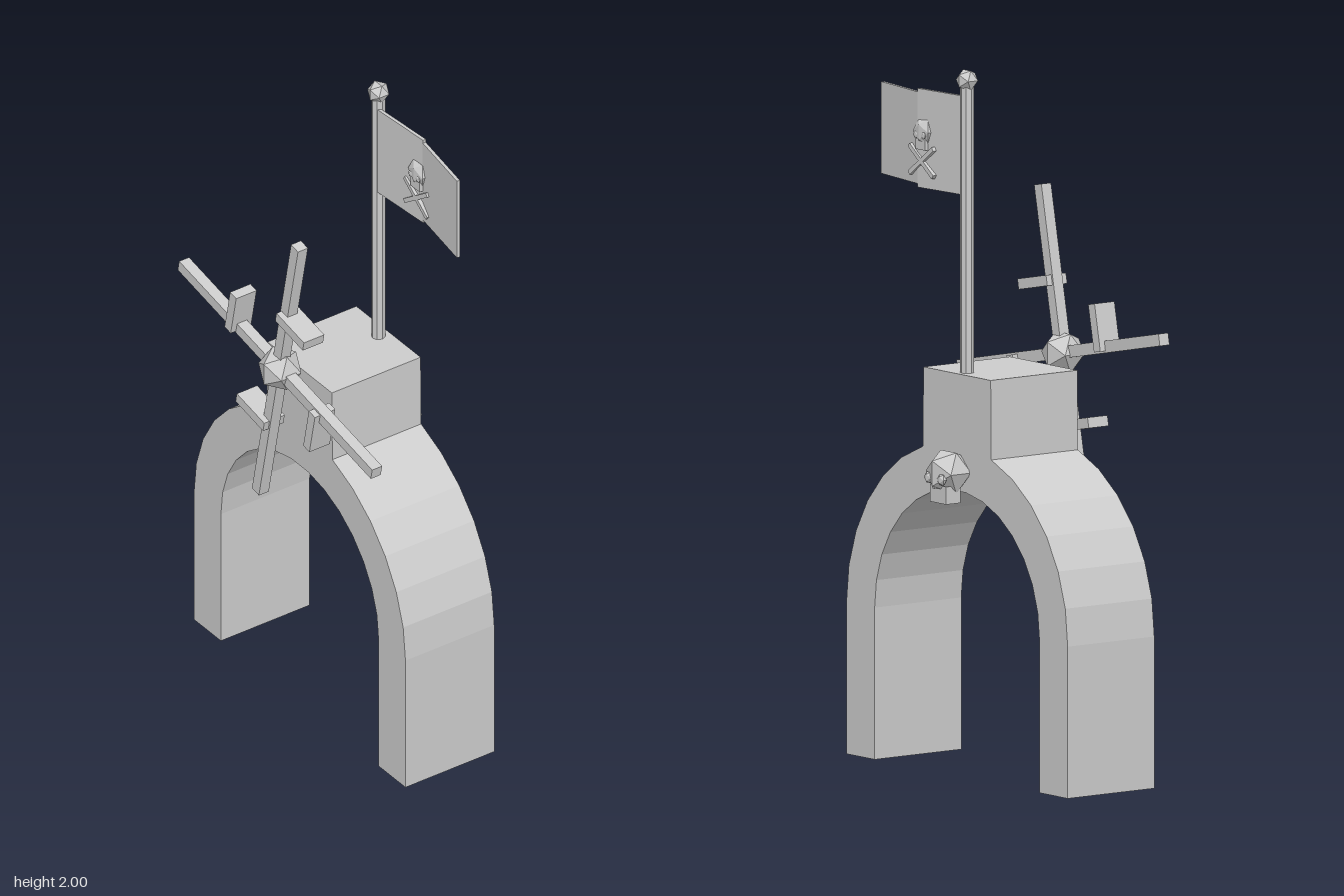
import * as THREE from 'three';

export function createModel() {
  const model = new THREE.Group();
  const stone = new THREE.MeshStandardMaterial({ color: 0xcccccc, flatShading: true });
  stone.name = 'plain grey';

  function add(parent, name, geometry, x = 0, y = 0, z = 0) {
    const mesh = new THREE.Mesh(geometry, stone);
    mesh.name = name;
    mesh.position.set(x, y, z);
    parent.add(mesh);
    return mesh;
  }
  function group(parent, name, x, y, z) {
    const g = new THREE.Group();
    g.name = name;
    g.position.set(x, y, z);
    parent.add(g);
    return g;
  }

  // Arch with the square block on its crown, as one extruded outline
  const springY = 0.43, outer = 0.51, inner = 0.38, step = Math.PI / 15;
  const at = (r, i) => new THREE.Vector2(r * Math.cos(i * step), springY + r * Math.sin(i * step));
  const outline = [new THREE.Vector2(inner, 0), new THREE.Vector2(outer, 0)];
  for (let i = 0; i <= 6; i++) outline.push(at(outer, i));
  outline.push(new THREE.Vector2(0.155, 1.14), new THREE.Vector2(-0.155, 1.14));
  for (let i = 9; i <= 15; i++) outline.push(at(outer, i));
  outline.push(new THREE.Vector2(-outer, 0), new THREE.Vector2(-inner, 0));
  for (let i = 15; i >= 0; i--) outline.push(at(inner, i));
  const archGeometry = new THREE.ExtrudeGeometry(new THREE.Shape(outline), { depth: 0.305, bevelEnabled: false });
  add(model, 'arch', archGeometry, 0, 0, -0.17);

  // Four-armed wheel in front, each arm with a paddle across it
  const wheel = group(model, 'wheel', 0, 1.165, 0.203);
  add(wheel, 'hub', new THREE.IcosahedronGeometry(0.065, 0));
  for (let i = 0; i < 4; i++) {
    const arm = group(wheel, 'arm', 0, 0, 0);
    arm.rotation.z = -0.2 - i * Math.PI / 2;
    add(arm, 'spar', new THREE.BoxGeometry(0.034, 0.47, 0.034), 0, 0.24, 0);
    add(arm, 'paddle', new THREE.BoxGeometry(0.135, 0.03, 0.07), 0.056, 0.205, 0);
  }

  // Flagpole and finial
  add(model, 'flagpole', new THREE.CylinderGeometry(0.02, 0.02, 0.82, 8), 0, 1.54, -0.135);
  add(model, 'finial', new THREE.IcosahedronGeometry(0.033, 0), 0, 1.968, -0.135);

  // Flag of two panels folded at a slight angle
  const inside = add(model, 'flagInnerPanel', new THREE.BoxGeometry(0.2, 0.28, 0.01), 0.112, 1.78, -0.135);
  inside.rotation.y = 0.08;
  const outside = add(model, 'flagOuterPanel', new THREE.BoxGeometry(0.214, 0.26, 0.01), 0.314, 1.78, -0.127);
  outside.rotation.y = -0.15;

  // Skull facing +z: cranium, jaw, eyes and nose
  function skull(parent, name, x, y, z) {
    const g = group(parent, name, x, y, z);
    add(g, 'cranium', new THREE.IcosahedronGeometry(0.068, 0));
    add(g, 'jaw', new THREE.BoxGeometry(0.075, 0.05, 0.05), 0, -0.06, 0.012);
    for (const s of [-1, 1]) {
      add(g, 'eye', new THREE.IcosahedronGeometry(0.018, 0), s * 0.03, -0.015, 0.047).scale.z = 0.6;
    }
    add(g, 'nose', new THREE.BoxGeometry(0.01, 0.014, 0.01), 0, -0.036, 0.048);
    return g;
  }
  skull(model, 'backSkull', 0, 0.865, -0.2).rotation.y = Math.PI;

  // Skull and crossed bones on both faces of the flag
  for (const s of [-1, 1]) {
    const emblem = group(model, s > 0 ? 'frontEmblem' : 'backEmblem', 0.19, 1.8, -0.14);
    if (s < 0) emblem.rotation.y = Math.PI;
    skull(emblem, 'flagSkull', 0, 0, 0.004).scale.set(0.6, 0.6, 0.28);
    for (const t of [-1, 1]) {
      const bone = add(emblem, 'bone', new THREE.BoxGeometry(0.135, 0.013, 0.012), 0, -0.083, 0.008);
      bone.rotation.z = t * 0.63;
    }
  }
  return model;
}
